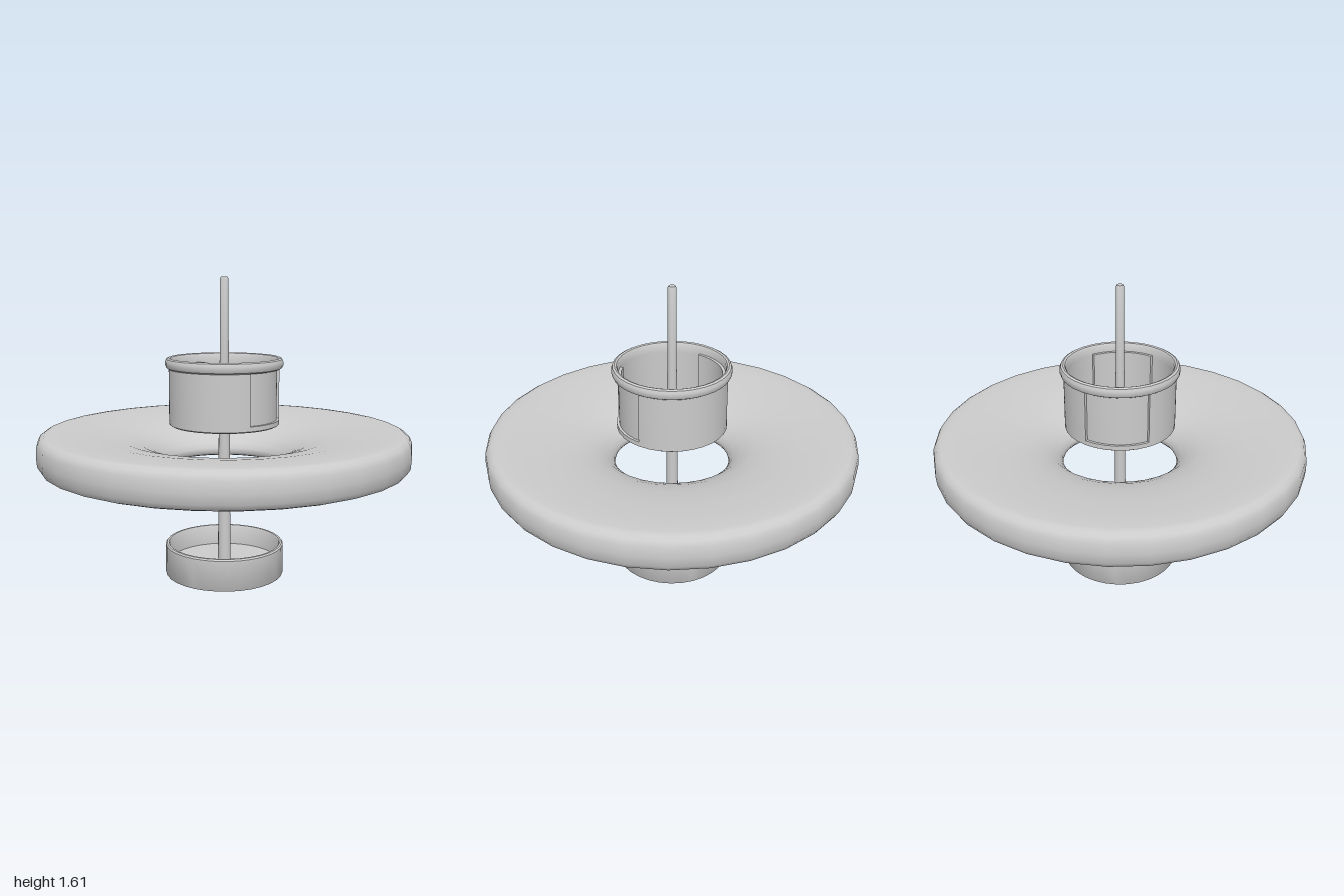
import * as THREE from 'three';
import { toCreasedNormals } from 'three/addons/utils/BufferGeometryUtils.js';

const SIDES = 32;
const material = new THREE.MeshStandardMaterial({ color: 0xcccccc });

function addMesh(parent, name, geometry, crease = 0.6) {
  const mesh = new THREE.Mesh(toCreasedNormals(geometry, crease), material);
  mesh.name = name;
  parent.add(mesh);
  return mesh;
}

// Revolve [radius, height] pairs; outer faces run upwards, inner faces downwards
function turned(profile, sides = SIDES) {
  return new THREE.LatheGeometry(profile.map(([r, y]) => new THREE.Vector2(r, y)), sides);
}

// Solid curved wall between two radii, centred on an angle around y (0 = +x)
function arcWall(inner, outer, middle, halfAngle, bottom, top) {
  const shape = new THREE.Shape();
  shape.absarc(0, 0, outer, middle - halfAngle, middle + halfAngle, false);
  shape.absarc(0, 0, inner, middle + halfAngle, middle - halfAngle, true);
  const geometry = new THREE.ExtrudeGeometry(shape, {
    depth: top - bottom, bevelEnabled: false, curveSegments: 14,
  });
  return geometry.rotateX(-Math.PI / 2).translate(0, bottom, 0);
}

export function createModel() {
  const model = new THREE.Group();
  model.name = 'poleWithDisc';

  // Open tray at the foot
  addMesh(model, 'baseTray', turned([
    [0, 0], [0.32, 0], [0.323, 0.005], [0.323, 0.165], [0.316, 0.173],
    [0.305, 0.173], [0.3, 0.165], [0.3, 0.06], [0, 0.06],
  ]));

  // Slightly tapering pole with a softened tip
  addMesh(model, 'pole', turned([
    [0, 0.03], [0.035, 0.03], [0.03, 0.8], [0.024, 1.2],
    [0.023, 1.6], [0.018, 1.612], [0, 1.614],
  ], 16));

  // Wide ring disc: rounded rim, top dipping like a funnel into the hole
  addMesh(model, 'disc', turned([
    [0.312, 0.61], [0.325, 0.594], [0.35, 0.585], [0.4, 0.582], [0.65, 0.592], [0.9, 0.607],
    [0.95, 0.612], [0.98, 0.623], [0.996, 0.65], [1, 0.7], [0.996, 0.755],
    [0.983, 0.782], [0.96, 0.797], [0.93, 0.8], [0.85, 0.797], [0.7, 0.785],
    [0.55, 0.762], [0.45, 0.734], [0.38, 0.7], [0.335, 0.66], [0.316, 0.632], [0.312, 0.61],
  ]), 1.0);

  // Cup around the pole
  const cup = new THREE.Group();
  cup.name = 'cup';
  model.add(cup);

  addMesh(cup, 'cupFloor', turned([
    [0, 0.828], [0.285, 0.828], [0.296, 0.835], [0.296, 0.86], [0.28, 0.86], [0.28, 0.845], [0, 0.845],
  ]));
  addMesh(cup, 'cupRim', turned([
    [0.281, 1.13], [0.296, 1.13], [0.308, 1.137], [0.315, 1.152], [0.315, 1.17], [0.309, 1.184],
    [0.298, 1.19], [0.288, 1.186], [0.281, 1.175], [0.281, 1.13],
  ]));

  // Side walls, left open over the two recessed panels
  const half = Math.asin(0.163 / 0.296);
  for (const side of [1, -1]) {
    addMesh(cup, side > 0 ? 'frontWall' : 'backWall',
      arcWall(0.281, 0.296, -side * Math.PI / 2, Math.PI / 2 - half, 0.86, 1.13));
    addMesh(cup, side > 0 ? 'leftPanel' : 'rightPanel',
      arcWall(0.264, 0.281, side > 0 ? 0 : Math.PI, half + 0.04, 0.845, 1.14));
  }

  return model;
}
